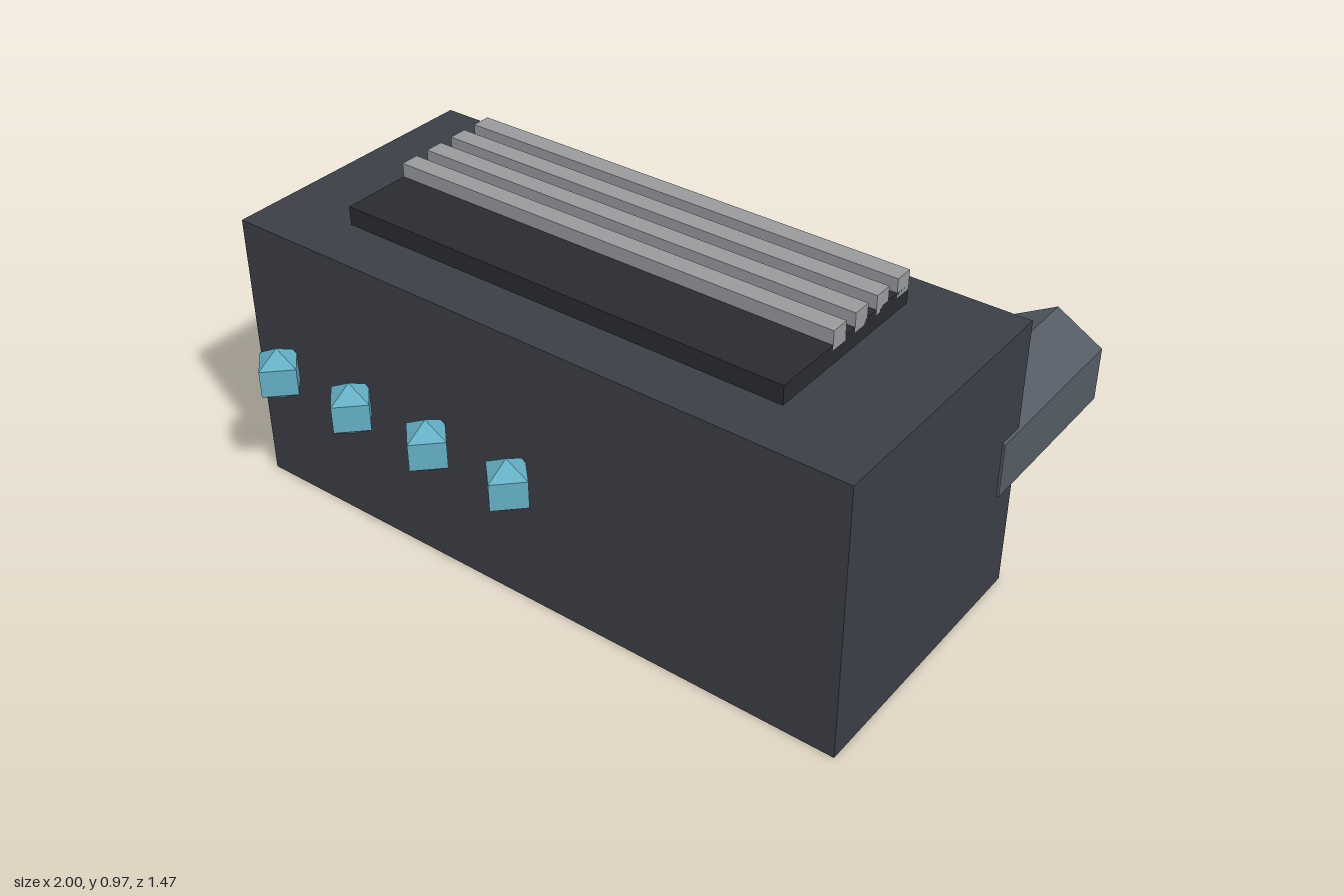
import * as THREE from 'three';

export function createModel() {
  const model = new THREE.Group();
  const mat = (color) => new THREE.MeshStandardMaterial({ color, flatShading: true });

  const add = (name, geometry, material, x, y, z) => {
    const mesh = new THREE.Mesh(geometry, material);
    mesh.name = name;
    mesh.position.set(x, y, z);
    model.add(mesh);
    return mesh;
  };

  const midX = -0.005;

  // Main block
  add('body', new THREE.BoxGeometry(1.99, 0.854, 0.853), mat(0x3b3e46), midX, 0.427, 0.175);

  // Plate hovering just above the block
  add('topPlate', new THREE.BoxGeometry(1.42, 0.057, 0.568), mat(0x2a2b30), midX, 0.901, 0.177);

  // Row of slats on the rear part of the plate
  const slatGeometry = new THREE.BoxGeometry(1.42, 0.057, 0.057);
  const slatMaterial = mat(0x97999c);
  for (let i = 0; i < 4; i++) {
    add(`slat${i + 1}`, slatGeometry, slatMaterial, midX, 0.943, 0.219 - i * 0.0995);
  }

  // Faceted knobs along the front
  const knobGeometry = new THREE.SphereGeometry(0.085, 4, 3);
  const knobMaterial = mat(0x64afc5);
  for (let i = 0; i < 4; i++) {
    add(`knob${i + 1}`, knobGeometry, knobMaterial, -0.858 + i * 0.2843, 0.43, 0.66);
  }

  // Hexagonal pipe leaving the back, a corner edge on top
  const pipeGeometry = new THREE.CylinderGeometry(0.17, 0.17, 0.569, 6).rotateX(Math.PI / 2);
  add('exhaustPipe', pipeGeometry, mat(0x545b64), 0.85, 0.43, -0.449);

  return model;
}
